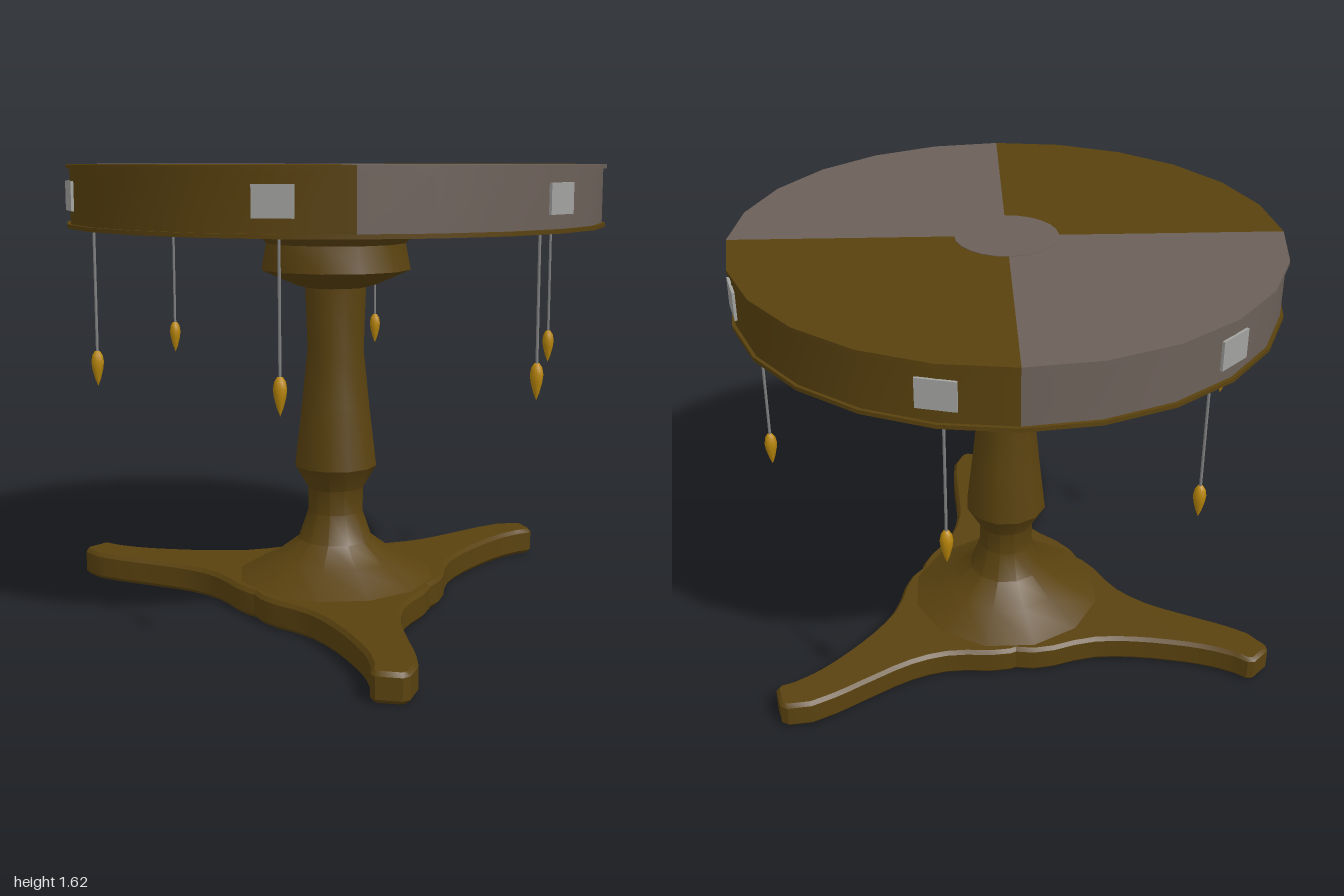
import * as THREE from 'three';
import { toCreasedNormals } from 'three/addons/utils/BufferGeometryUtils.js';

export function createModel() {
  const model = new THREE.Group();
  model.name = 'drumTable';
  const table = new THREE.Group();
  table.name = 'table';
  table.position.set(-0.045, 0, 0.008);
  model.add(table);

  const material = (name, color) => {
    const m = new THREE.MeshStandardMaterial({ color });
    m.name = name;
    return m;
  };
  const wood = material('darkWood', 0x5a420f);
  const grey = material('greyPaint', 0x6c6059);
  const steel = material('steelPlate', 0xa2a29f);
  const rodMetal = material('rodMetal', 0x808080);
  const gold = material('gold', 0xb8860b);

  const add = (name, geometry, mat, parent = table) => {
    const mesh = new THREE.Mesh(geometry, mat);
    mesh.name = name;
    parent.add(mesh);
    return mesh;
  };
  const points = (list) => list.map(([x, y]) => new THREE.Vector2(x, y));

  // Drum top: four quarters in alternating colours, each with a lip
  const drum = new THREE.Group();
  drum.name = 'drumTop';
  table.add(drum);
  for (let i = 0; i < 4; i++) {
    const mat = i % 2 ? wood : grey;
    const start = -Math.PI / 4 + i * Math.PI / 2;
    const sector = (r, h) => new THREE.CylinderGeometry(r, r, h, 6, 1, false, start, Math.PI / 2);
    add('drumSide' + i, toCreasedNormals(sector(0.945, 0.2), 0.6), mat, drum).position.y = 1.508;
    add('topLip' + i, toCreasedNormals(sector(0.957, 0.014), 0.6), mat, drum).position.y = 1.613;
  }
  add('centreDisc', new THREE.CylinderGeometry(0.18, 0.18, 0.004, 24), grey, drum).position.y = 1.62;
  add('bottomLip', new THREE.CylinderGeometry(0.957, 0.957, 0.014, 24), wood, drum).position.y = 1.412;

  // Six plates on the rim, each with a hanging rod and pendant
  const plateGeo = new THREE.BoxGeometry(0.13, 0.1, 0.0095);
  const rodGeo = new THREE.CylinderGeometry(0.005, 0.005, 0.44, 8);
  const pendantGeo = new THREE.LatheGeometry(
    points([[0, 0.86], [0.01, 0.885], [0.019, 0.92], [0.022, 0.945], [0.018, 0.968], [0.009, 0.982], [0, 0.984]]), 10);
  for (let i = 0; i < 6; i++) {
    const station = new THREE.Group();
    station.name = 'station' + i;
    station.rotation.y = i * Math.PI / 3;
    table.add(station);
    add('plate', plateGeo, steel, station).position.set(0, 1.515, 0.948);
    add('rod', rodGeo, rodMetal, station).position.set(0, 1.195, 0.87);
    add('pendant', pendantGeo, gold, station).position.z = 0.87;
  }

  // Turned pedestal with collar and spreading hub
  const profile = points([
    [0, 0], [0.366, 0], [0.37, 0.1], [0.23, 0.172], [0.14, 0.24], [0.103, 0.345], [0.103, 0.435],
    [0.153, 0.52], [0.127, 0.74], [0.105, 0.95], [0.113, 1.18], [0.15, 1.19], [0.276, 1.245],
    [0.258, 1.34], [0.328, 1.41],
  ]);
  add('pedestal', toCreasedNormals(new THREE.LatheGeometry(profile, 12), 0.6), wood);

  // Three curved legs: stations of centre point and half width
  const stations = [
    [0.1, 0.02, 0.34], [0.25, 0.04, 0.3], [0.4, 0.06, 0.18], [0.55, 0.077, 0.12],
    [0.72, 0.09, 0.092], [0.85, 0.105, 0.08], [0.95, 0.13, 0.074],
  ];
  const right = [], left = [];
  stations.forEach(([x, y, w], i) => {
    const a = stations[Math.max(i - 1, 0)], b = stations[Math.min(i + 1, stations.length - 1)];
    const t = new THREE.Vector2(b[0] - a[0], b[1] - a[1]).normalize();
    right.push(new THREE.Vector2(x + t.y * w, y - t.x * w));
    left.push(new THREE.Vector2(x - t.y * w, y + t.x * w));
  });
  const smooth = (pts) => new THREE.SplineCurve(pts).getPoints(14);
  // Chamfered toe turned sideways
  const toe = points([[1.037, 0.112], [1.045, 0.14], [1.002, 0.215], [0.978, 0.222]]);
  const legShape = new THREE.Shape([...smooth(right), ...toe, ...smooth(left).reverse()]);
  const legGeo = toCreasedNormals(new THREE.ExtrudeGeometry(legShape, {
    depth: 0.075, bevelThickness: 0.014, bevelSize: 0.012, bevelOffset: -0.012, bevelSegments: 1,
  }).rotateX(Math.PI / 2).translate(0, 0.089, 0), 0.6);
  for (let i = 0; i < 3; i++) {
    add('leg' + i, legGeo, wood).rotation.y = -i * Math.PI * 2 / 3;
  }
  return model;
}
